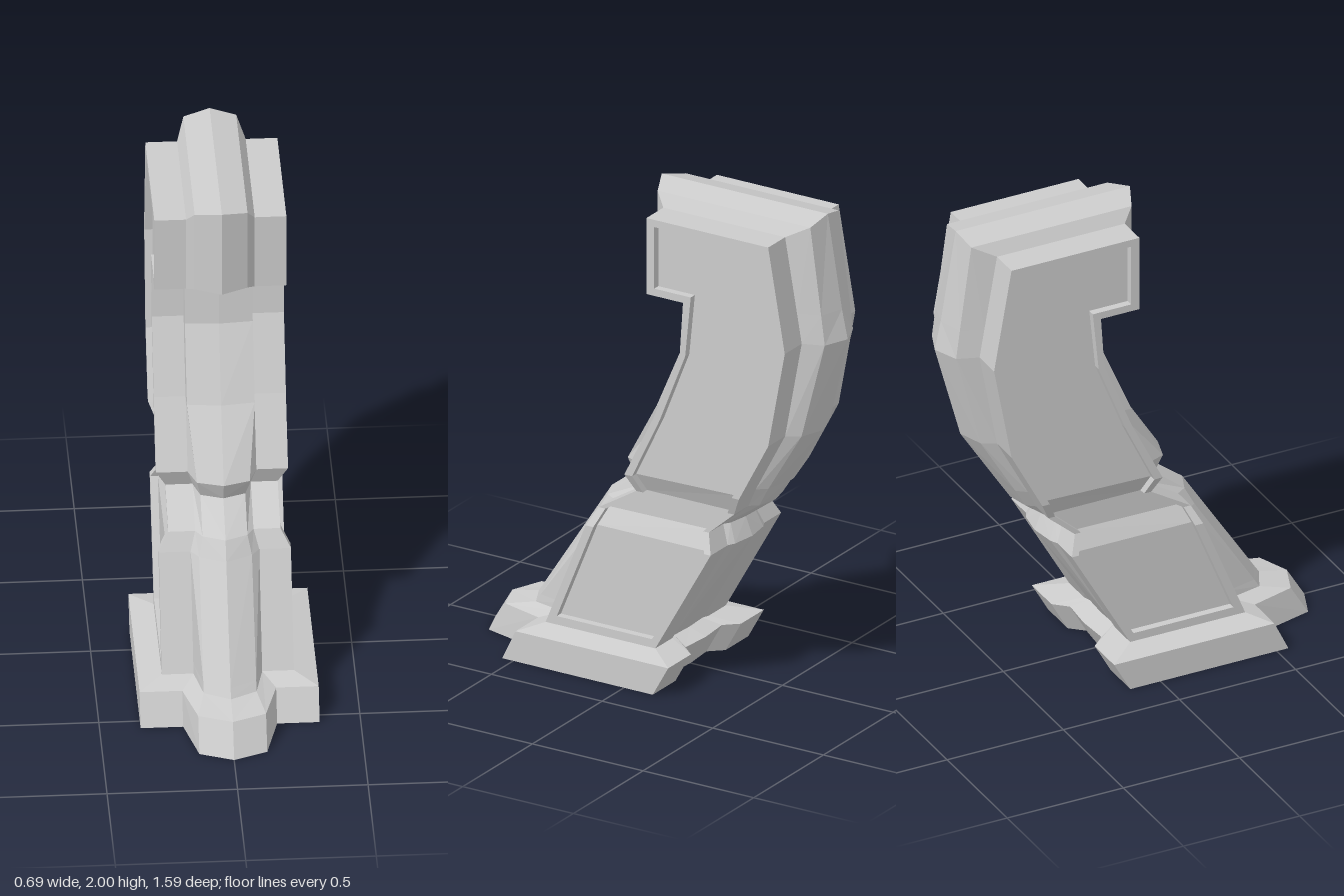
import * as THREE from 'three';

// One cross-section of half the support. front / back list the depth (z) of
// [centre ridge, ridge edge, side, panel edge]; fy / by are one height or four.
function section(fy, by, front, back, { w = 0.253, step = w * 0.52, mid = w * 0.4, frontMid = mid, d = 0.03 } = {}) {
  const at = (y, i) => (Array.isArray(y) ? y[i] : y);
  const f = (x, i) => new THREE.Vector3(x, at(fy, i), front[i]);
  const b = (x, i) => new THREE.Vector3(x, at(by, i), back[i]);
  return [
    f(0, 0), f(frontMid, 1), f(step, 2), f(w, 2), f(w, 3), f(w - d, 3),
    b(w - d, 3), b(w, 3), b(w, 2), b(step, 2), b(mid, 1), b(0, 0),
  ];
}

// Joins sections from bottom to top, mirrors them, and can close the top.
function loft(name, rows, material, capTop = false) {
  const pos = [];
  const tri = (a, b, c) => {
    const area = new THREE.Vector3().subVectors(b, a).cross(new THREE.Vector3().subVectors(c, a)).length();
    if (area < 1e-7) return;
    for (const p of [a, b, c]) pos.push(p.x, p.y, p.z);
    for (const p of [a, c, b]) pos.push(-p.x, p.y, p.z);
  };
  const quad = (a, b, c, d) => { tri(a, b, c); tri(a, c, d); };
  for (let r = 0; r < rows.length - 1; r++) {
    const lo = rows[r], hi = rows[r + 1];
    for (let i = 0; i < lo.length - 1; i++) quad(lo[i], lo[i + 1], hi[i + 1], hi[i]);
  }
  if (capTop) {
    const t = rows[rows.length - 1];
    for (let i = 0; i < 3; i++) quad(t[i], t[i + 1], t[10 - i], t[11 - i]);
  }
  const geometry = new THREE.BufferGeometry();
  geometry.setAttribute('position', new THREE.Float32BufferAttribute(pos, 3));
  geometry.computeVertexNormals();
  const mesh = new THREE.Mesh(geometry, material);
  mesh.name = name;
  return mesh;
}

export function createModel() {
  const group = new THREE.Group();
  group.name = 'curvedSupport';
  // The shell is open underneath, so its inside shows too
  const grey = new THREE.MeshStandardMaterial({ color: 0xcccccc, flatShading: true, side: THREE.DoubleSide });

  // Foot plate, wider than the leg, notched at the back
  const foot = { w: 0.343, step: 0.18, mid: 0.13, d: 0 };
  const ankle = section(0.15, 0.15, [0.6, 0.55, 0.41, 0.36], [-0.08, -0.075, -0.085, -0.07], { d: 0 });
  group.add(loft('footPlate', [
    section(0, 0, [0.795, 0.745, 0.55, 0.5], [-0.085, -0.075, -0.13, -0.1], foot),
    section(0.125, 0.125, [0.72, 0.67, 0.49, 0.44], [-0.155, -0.145, -0.2, -0.17], foot),
    ankle,
  ], grey));

  // Lower leg, with the bottom ledge of the sunken side panel
  const ledge = (d) => section(0.185, 0.185, [0.577, 0.528, 0.396, 0.36], [-0.104, -0.098, -0.105, -0.07], { d });
  const legTop = section(0.59, 0.59, [0.315, 0.27, 0.23, 0.195], [-0.365, -0.35, -0.335, -0.305]);
  group.add(loft('lowerLeg', [ankle, ledge(0), ledge(0.03), legTop], grey));

  // Pinched waist
  const waistTop = section(0.84, 0.85, [0.165, 0.135, 0.055, 0.02], [-0.525, -0.5, -0.462, -0.43]);
  group.add(loft('waist', [
    legTop,
    section(0.66, 0.665, [0.27, 0.235, 0.195, 0.165], [-0.335, -0.32, -0.303, -0.277], { w: 0.215 }),
    section(0.765, 0.765, [0.135, 0.105, 0.025, -0.005], [-0.47, -0.45, -0.417, -0.388], { w: 0.215 }),
    waistTop,
  ], grey));

  // Curved upper arm; its front ridge widens to a plain band
  const band = { frontMid: 0.13 };
  const backAtHead = [-0.769, -0.739, -0.649, -0.616];
  const underHead = [1.635, 1.635, 1.61, 1.64];
  const neck = section(underHead, 1.62, [-0.15, -0.16, -0.21, -0.245], backAtHead, band);
  group.add(loft('upperArm', [
    waistTop,
    section(1.1, 1.1, [0, -0.015, -0.075, -0.105], [-0.685, -0.65, -0.595, -0.565], band),
    section(1.39, 1.5, [-0.13, -0.14, -0.195, -0.22], [-0.795, -0.755, -0.67, -0.637], band),
    neck,
  ], grey));

  // Overhanging head, with the top ledge of the side panel
  const headFront = [0.045, 0, -0.045, -0.08];
  const headTop = (panelY, d) => {
    const y = [2, 1.975, 1.925, panelY];
    return section(y, y, headFront, [-0.705, -0.69, -0.595, -0.568], { d });
  };
  group.add(loft('head', [
    neck,
    section(underHead, 1.62, headFront, backAtHead),
    headTop(1.895, 0.03), headTop(1.895, 0), headTop(1.925, 0),
  ], grey, true));

  return group;
}
